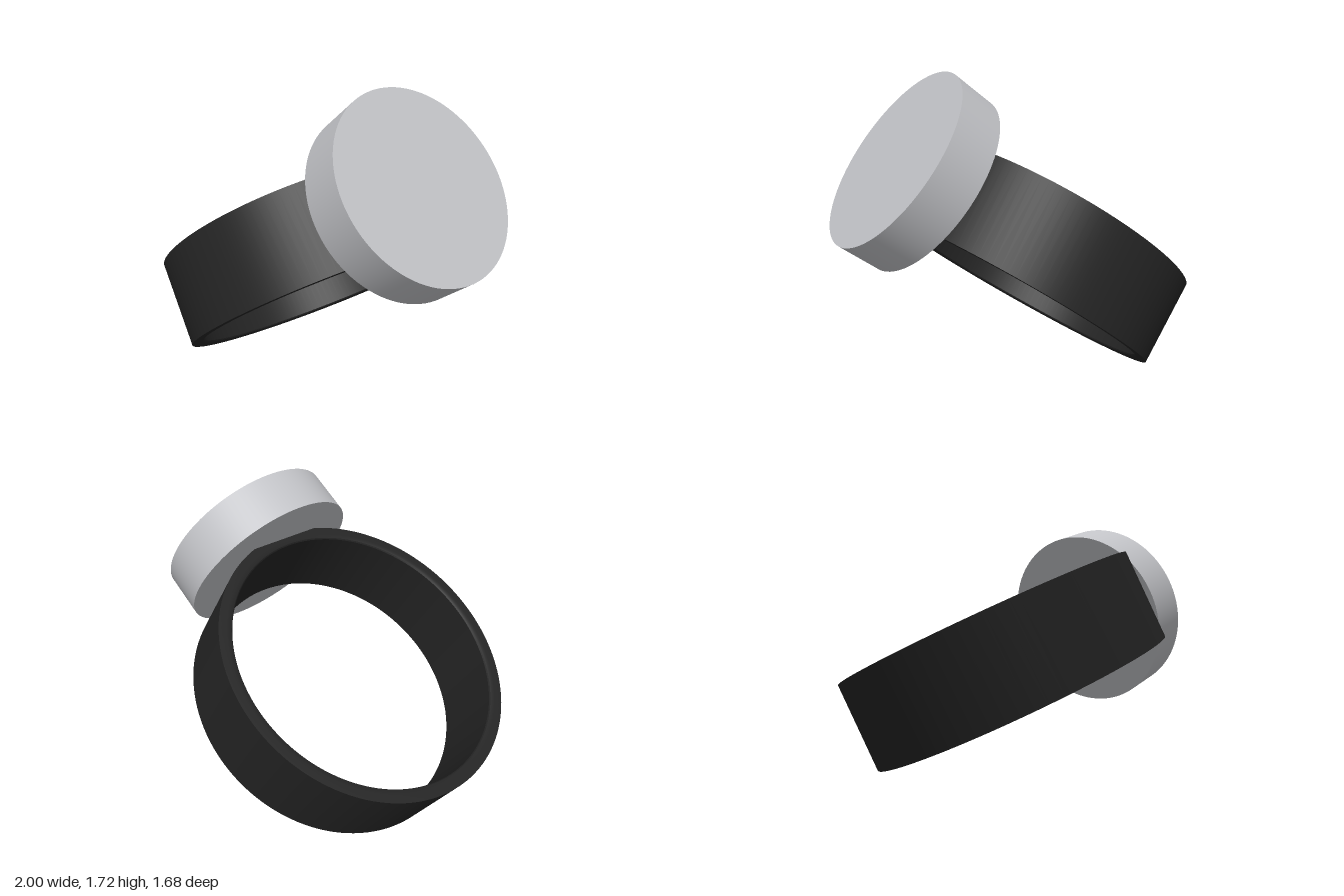
import * as THREE from 'three';
import { toCreasedNormals } from 'three/addons/utils/BufferGeometryUtils.js';

export function createModel() {
  const black = new THREE.MeshStandardMaterial({ color: 0x242424 });
  black.name = 'black';
  const silver = new THREE.MeshStandardMaterial({ color: 0xc1c2c6 });
  silver.name = 'silver';

  // Half of the band section, from the outer edge round to the softened inner edge
  const upper = [[0.84, 0.242], [0.797, 0.242], [0.782, 0.241], [0.771, 0.237], [0.766, 0.23]];
  const lower = upper.map(([r, y]) => [r, -y]).reverse();
  const profile = [...upper, ...lower, upper[0]].map(([r, y]) => new THREE.Vector2(r, y));

  const band = new THREE.Mesh(
    toCreasedNormals(new THREE.LatheGeometry(profile, 128), 0.5), black);
  band.name = 'band';

  // Round flat face set on the outside of the band
  const disc = new THREE.Mesh(new THREE.CylinderGeometry(0.523, 0.523, 0.25, 96), silver);
  disc.name = 'discFace';
  disc.rotation.z = -Math.PI / 2;
  disc.position.x = 0.935;

  // The whole ring leans up towards +x
  const ring = new THREE.Group();
  ring.name = 'ring';
  ring.add(band, disc);
  ring.rotation.z = THREE.MathUtils.degToRad(35);
  ring.position.set(-0.172, 0.68, 0);

  const model = new THREE.Group();
  model.name = 'discRing';
  model.add(ring);
  return model;
}
